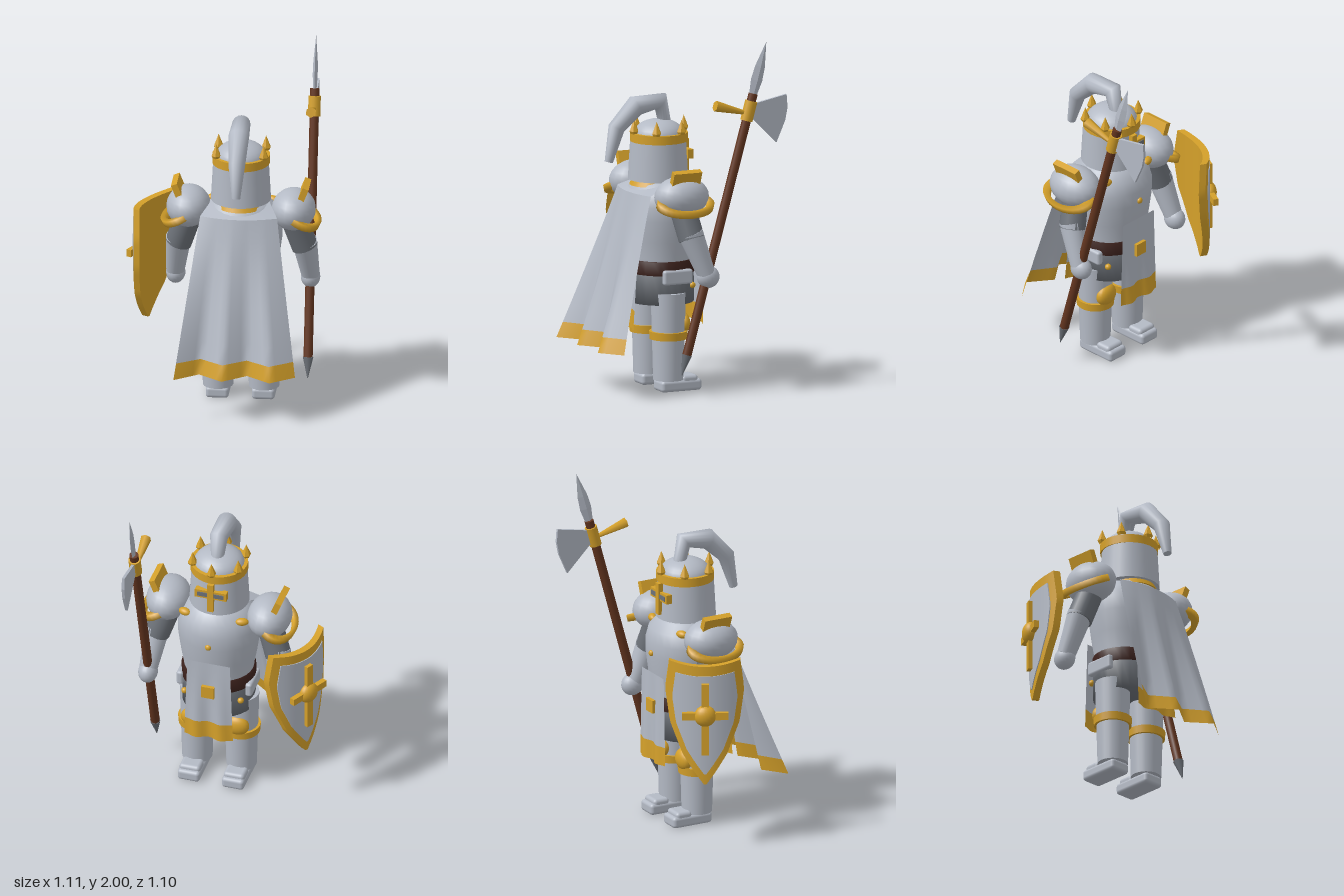
import * as THREE from 'three';
import { RoundedBoxGeometry } from 'three/addons/geometries/RoundedBoxGeometry.js';

const CX = 0.094, CZ = 0.07; // body axis

export function createModel() {
  const root = new THREE.Group();
  root.name = 'knight';
  const material = (name, color, side = THREE.FrontSide) => {
    const m = new THREE.MeshStandardMaterial({ color, side });
    m.name = name;
    return m;
  };
  const steel = material('steel', 0xb4bac5, THREE.DoubleSide);
  const gold = material('gold', 0xd4a02a, THREE.DoubleSide);
  const darkSteel = material('darkSteel', 0x6c7178);
  const wood = material('wood', 0x63351f);
  const leather = material('leather', 0x3c211c);

  const add = (parent, name, geo, mat, x = 0, y = 0, z = 0) => {
    const m = new THREE.Mesh(geo, mat);
    m.name = name;
    m.position.set(x, y, z);
    parent.add(m);
    return m;
  };
  const group = (name, x, y, z) => {
    const g = new THREE.Group();
    g.name = name;
    g.position.set(x, y, z);
    root.add(g);
    return g;
  };
  const cyl = (rTop, rBottom, h, n = 24) => new THREE.CylinderGeometry(rTop, rBottom, h, n);
  const ball = (rx, ry, rz) => new THREE.SphereGeometry(1, 20, 14).scale(rx, ry, rz);
  const lathe = (pts, n = 28) => new THREE.LatheGeometry(pts.map(p => new THREE.Vector2(...p)), n);
  // tapered limb between two points
  const limb = (parent, name, a, b, ra, rb, mat) => {
    const A = new THREE.Vector3(...a), B = new THREE.Vector3(...b), d = B.clone().sub(A);
    const m = add(parent, name, cyl(rb, ra, d.length(), 20), mat);
    m.position.copy(A).add(B).multiplyScalar(0.5);
    m.quaternion.setFromUnitVectors(new THREE.Vector3(0, 1, 0), d.normalize());
    return m;
  };
  // cloth sheet: rule(u, t) gives a point, for t between t0 and t1
  const sheet = (name, rule, t0, t1, cols, rows, mat) => {
    const g = new THREE.PlaneGeometry(1, 1, cols, rows), p = g.attributes.position;
    for (let i = 0; i < p.count; i++) {
      p.setXYZ(i, ...rule(p.getX(i) + 0.5, t0 + (0.5 - p.getY(i)) * (t1 - t0)));
    }
    g.computeVertexNormals();
    return add(root, name, g, mat);
  };
  const lerp = THREE.MathUtils.lerp;

  // torso, belt and skirt
  const oval = (name, pts, mat) => add(root, name, lathe(pts), mat, CX, 0, CZ - 0.005).scale.set(1.1, 1, 1);
  oval('torso', [[0.001, 0.6], [0.175, 0.62], [0.182, 0.76], [0.198, 0.86], [0.213, 0.98],
    [0.213, 1.06], [0.195, 1.13], [0.15, 1.18], [0.1, 1.21]], steel);
  oval('belt', [[0.18, 0.665], [0.193, 0.67], [0.193, 0.745], [0.17, 0.75]], leather);
  oval('skirt', [[0.001, 0.51], [0.19, 0.5], [0.188, 0.668], [0.15, 0.67]], darkSteel);
  add(root, 'neckRing', cyl(0.12, 0.14, 0.04), gold, CX, 1.185, CZ + 0.03);
  add(root, 'chestStud', ball(0.018, 0.018, 0.014), gold, CX, 1.0, -0.148);

  // helmet with crown
  add(root, 'helmet', cyl(0.156, 0.17, 0.25, 28), steel, CX, 1.32, CZ + 0.005);
  add(root, 'helmetDome', new THREE.SphereGeometry(1, 24, 8, 0, Math.PI * 2, 0, Math.PI / 2)
    .scale(0.145, 0.09, 0.145), steel, CX, 1.445, CZ);
  add(root, 'crownBand', cyl(0.163, 0.163, 0.05, 28), gold, CX, 1.436, CZ);
  for (let i = 0; i < 6; i++) {
    const a = i * Math.PI / 3;
    const s = add(root, 'crownSpike', lathe([[0.02, 0], [0.028, 0.015], [0, 0.085]], 6), gold,
      CX + 0.155 * Math.sin(a), 1.46, CZ + 0.155 * Math.cos(a));
    s.geometry = s.geometry.toNonIndexed();
    s.geometry.computeVertexNormals();
  }
  // visor cross
  add(root, 'visorFrame', new THREE.BoxGeometry(0.185, 0.052, 0.035), gold, CX, 1.335, -0.084);
  add(root, 'visorSlit', new THREE.BoxGeometry(0.155, 0.026, 0.008), darkSteel, CX, 1.335, -0.1025);
  add(root, 'visorBar', new THREE.BoxGeometry(0.036, 0.185, 0.045), gold, CX, 1.318, -0.088);

  // plume: rings along a bent, tapering path [y, z, radius]
  const spine = [[1.49, 0.03, 0.035], [1.635, 0.06, 0.052], [1.62, 0.215, 0.059],
    [1.5, 0.335, 0.048], [1.31, 0.382, 0.024]];
  const plume = new THREE.CylinderGeometry(1, 1, 1, 16, spine.length - 1);
  const pp = plume.attributes.position;
  for (let i = 0; i < pp.count; i++) {
    const k = Math.round((pp.getY(i) + 0.5) * (spine.length - 1));
    const [y, z, r] = spine[k];
    const a = spine[Math.max(k - 1, 0)], b = spine[Math.min(k + 1, spine.length - 1)];
    const len = Math.hypot(b[0] - a[0], b[1] - a[1]);
    const ty = (b[0] - a[0]) / len, tz = (b[1] - a[1]) / len, w = pp.getZ(i) * r;
    pp.setXYZ(i, pp.getX(i) * r, y - tz * w, z + ty * w);
  }
  plume.computeVertexNormals();
  add(root, 'plume', plume, steel, CX);

  // cape with zigzag folds and golden hem
  const cape = (u, t) => {
    const f = u * 5, k = Math.floor(f), tri = (k % 2 ? -1 : 1) * (1 - 2 * (f - k));
    const c = 2 * u - 1;
    return [CX + (u - 0.5) * lerp(0.435, 0.678, t), lerp(1.135, 0.265, t),
      lerp(0.268 - 0.045 * c * c, 0.497, t) + 0.05 * tri * Math.pow(t, 1.4)];
  };
  sheet('cape', cape, 0, 0.9, 20, 8, steel);
  sheet('capeHem', cape, 0.9, 1, 20, 1, gold);
  sheet('capeCollar', (u, t) => {
    const c = 2 * u - 1;
    return [CX + c * lerp(0.15, 0.2175, t), lerp(1.2 - 0.03 * (1 - c * c), 1.135, t),
      lerp(0.2 - 0.13 * c * c, 0.268 - 0.045 * c * c, t)];
  }, 0, 1, 16, 3, steel);

  // front and back tabards
  const tabard = (name, z0, z1, wave) => {
    const rule = (u, t) => [CX + (u - 0.5) * lerp(0.25, 0.286, t), lerp(0.88, 0.365, t),
      lerp(z0, z1, t) + wave * t * Math.cos(u * Math.PI * 4)];
    sheet(name, rule, 0, 0.79, 16, 5, steel);
    sheet(name + 'Hem', rule, 0.79, 1, 16, 2, gold);
  };
  tabard('frontTabard', -0.138, -0.15, 0.012);
  tabard('backTabard', 0.255, 0.285, 0.012);
  add(root, 'tabardEmblem', new THREE.BoxGeometry(0.075, 0.075, 0.02), gold, CX, 0.69, -0.152);

  // limbs, mirrored
  for (const s of [-1, 1]) {
    const side = group(s < 0 ? 'rightLimbs' : 'leftLimbs', CX, 0, 0);
    side.name = s < 0 ? 'shieldSideLimbs' : 'weaponSideLimbs';
    const X = x => s * x;
    // shoulder armour
    add(side, 'pauldron', ball(0.125, 0.116, 0.16), steel, X(0.297), 1.138, CZ);
    const rim = add(side, 'pauldronRim', lathe([[0.13, -0.018], [0.172, -0.018], [0.172, 0.018], [0.13, 0.018], [0.13, -0.018]])
      .scale(0.64, 1, 1), gold, X(0.347), 1.097, CZ);
    rim.rotation.z = -s * 0.44;
    const crest = add(side, 'pauldronCrest', new THREE.BoxGeometry(0.036, 0.11, 0.173), gold, X(0.352), 1.24, CZ);
    crest.rotation.z = -s * 0.38;
    const clasp = add(side, 'collarClasp', ball(0.038, 0.022, 0.024), gold, X(0.168), 1.145, -0.045);
    clasp.rotation.y = -s * 0.3;
    // arm
    limb(side, 'upperArm', [X(0.29), 1.1, 0.07], [X(0.357), 0.9, 0.035], 0.075, 0.075, darkSteel);
    limb(side, 'forearm', [X(0.355), 0.935, 0.042], [X(0.382), 0.7, -0.045], 0.072, 0.052, steel);
    add(side, 'hand', ball(0.055, 0.064, 0.066), steel, X(0.381), 0.683, -0.056);
    // leg
    add(side, 'leg', cyl(0.1, 0.086, 0.5), steel, X(0.13), 0.315, CZ + 0.003);
    add(side, 'kneeBand', cyl(0.109, 0.106, 0.045), gold, X(0.13), 0.322, CZ + 0.003);
    add(side, 'kneeCap', ball(0.07, 0.062, 0.04), gold, X(0.13), 0.385, -0.012);
    add(side, 'foot', new RoundedBoxGeometry(0.13, 0.066, 0.25, 3, 0.02), steel, X(0.13), 0.033, 0.015);
    add(side, 'toeCap', new RoundedBoxGeometry(0.122, 0.075, 0.1, 3, 0.02), steel, X(0.13), 0.052, -0.038);
    // hip plate and stud
    add(side, 'hipPlate', new RoundedBoxGeometry(0.04, 0.085, 0.18, 2, 0.015), steel, X(0.202), 0.66, 0.05);
    add(side, 'hipStud', ball(0.018, 0.018, 0.018), gold, X(0.165), 0.6, -0.06);
  }

  // halberd, leaning forward
  const halberd = group('halberd', 0.473, 0.13, 0.108);
  halberd.rotation.x = -0.275;
  add(halberd, 'buttSpike', cyl(0.03, 0.002, 0.12, 8), darkSteel, 0, 0.06, 0);
  add(halberd, 'shaft', cyl(0.026, 0.026, 1.53, 12), wood, 0, 0.875, 0);
  add(halberd, 'socket', cyl(0.035, 0.035, 0.115, 12), gold, 0, 1.54, 0);
  const tip = lathe([[0.022, 0], [0.036, 0.1], [0.031, 0.18], [0, 0.325]], 4).scale(0.4, 1, 1).toNonIndexed();
  tip.computeVertexNormals();
  add(halberd, 'spearTip', tip, steel, 0, 1.618, 0);
  const axe = new THREE.Shape([[0.01, 1.59], [0.029, 1.591], [0.202, 1.678], [0.228, 1.608], [0.234, 1.534],
    [0.215, 1.401], [0.038, 1.5], [0.01, 1.5]].map(p => new THREE.Vector2(...p)));
  const axeGeo = new THREE.ExtrudeGeometry(axe, { depth: 0.016, bevelEnabled: false });
  axeGeo.translate(0, 0, -0.008).rotateY(Math.PI / 2);
  add(halberd, 'axeBlade', axeGeo, steel);
  const fluke = add(halberd, 'fluke', cyl(0.031, 0.012, 0.19, 6), gold, 0, 1.525, 0.118);
  fluke.rotation.x = Math.PI / 2;

  // curved heater shield: boxes bent to the outline
  const shield = group('shield', -0.39, 0.75, -0.075);
  shield.rotation.y = Math.atan2(-0.885, -0.465);
  const outline = [[-0.35, 0.008], [-0.27, 0.065], [-0.176, 0.125], [0.01, 0.197], [0.18, 0.222], [0.35, 0.2]];
  const halfWidth = v => {
    const k = Math.max(1, outline.findIndex(p => p[0] >= v - 1e-6));
    const [a, b] = [outline[k - 1], outline[k]];
    return lerp(a[1], b[1], (v - a[0]) / (b[0] - a[0]));
  };
  const slab = (name, scale, n0, n1, mat) => {
    const g = new THREE.BoxGeometry(1, 1, 1, 16, 20, 1), p = g.attributes.position;
    for (let i = 0; i < p.count; i++) {
      const v = p.getY(i) * 0.7, u = p.getX(i) * 2 * halfWidth(v) * scale;
      const corner = 0.02 * Math.pow(u / 0.2, 2) * Math.max(0, v / 0.35);
      p.setXYZ(i, u, v * scale + 0.01 * (1 - scale) + corner - 0.012,
        lerp(n0, n1, p.getZ(i) + 0.5) + 0.08 * (1 - Math.pow(u / 0.22, 2)));
    }
    g.computeVertexNormals();
    add(shield, name, g, mat);
  };
  slab('shieldBody', 1, -0.02, 0.02, gold);
  slab('shieldFace', 0.83, 0.016, 0.025, steel);
  add(shield, 'shieldCrossUpright', new THREE.BoxGeometry(0.042, 0.42, 0.03), gold, 0, 0.03, 0.112);
  add(shield, 'shieldCrossBar', new THREE.BoxGeometry(0.26, 0.042, 0.03), gold, 0, 0.05, 0.112);
  add(shield, 'shieldBoss', ball(0.062, 0.062, 0.045), gold, 0, 0.05, 0.112);

  return root;
}
